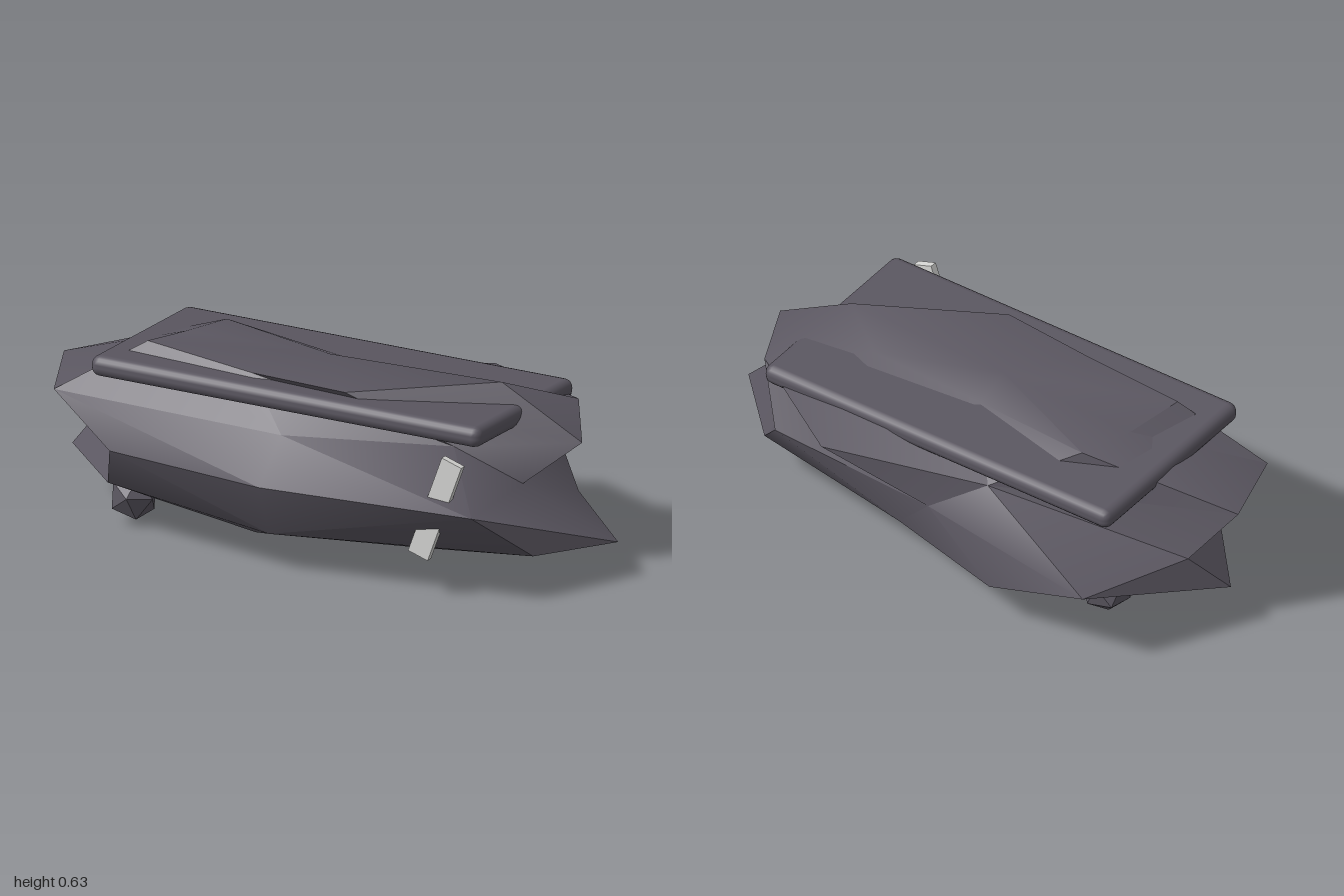
import * as THREE from 'three';
import { toCreasedNormals } from 'three/addons/utils/BufferGeometryUtils.js';
import { RoundedBoxGeometry } from 'three/addons/geometries/RoundedBoxGeometry.js';

// Closed skin over rings of eight points, capped by a point at the top and bottom.
// Panels listed in flipped as 'ring,column' are split along their other diagonal.
function ringSkin(top, rings, bottom, flipped) {
  const n = rings[0].length;
  const points = [];
  for (let j = 0; j < n; j++) {
    const k = (j + 1) % n;
    points.push(...top, ...rings[0][k], ...rings[0][j]);
    for (let i = 0; i < rings.length - 1; i++) {
      const [a, b, c, d] = [rings[i][k], rings[i + 1][k], rings[i + 1][j], rings[i][j]];
      const corners = flipped.includes(`${i},${j}`) ? [a, b, d, b, c, d] : [a, b, c, a, c, d];
      points.push(...corners.flat());
    }
    const last = rings[rings.length - 1];
    points.push(...bottom, ...last[j], ...last[k]);
  }
  const geometry = new THREE.BufferGeometry();
  geometry.setAttribute('position', new THREE.Float32BufferAttribute(points, 3));
  geometry.computeVertexNormals();
  return toCreasedNormals(geometry, 0.6);
}

export function createModel() {
  const model = new THREE.Group();
  const stone = new THREE.MeshStandardMaterial({ color: 0x5a5660 });
  stone.name = 'slateGrey';
  const pale = new THREE.MeshStandardMaterial({ color: 0xd6d6d4 });
  pale.name = 'paleGrey';

  const add = (name, geometry, material, x = 0, y = 0, z = 0) => {
    const mesh = new THREE.Mesh(geometry, material);
    mesh.name = name;
    mesh.position.set(x, y, z);
    model.add(mesh);
    return mesh;
  };

  // Rough body; each ring starts at +x and turns towards +z
  const crown = [[0.58, 0.605, 0], [0.15, 0.59, 0.28], [-0.2, 0.597, 0.25], [-0.6, 0.633, 0.2],
    [-0.56, 0.612, 0], [-0.5, 0.608, -0.18], [-0.04, 0.562, -0.12], [0.4, 0.555, -0.11]];
  const shoulder = [[0.87, 0.44, 0], [0.5, 0.43, 0.19], [-0.04, 0.44, 0.36], [-0.89, 0.455, 0.3],
    [-1, 0.48, 0], [-0.23, 0.44, -0.33], [0.3, 0.47, -0.525], [0.72, 0.485, -0.28]];
  const waist = [[0.71, 0.31, 0.11], [0.72, 0.31, 0.51], [-0.04, 0.31, 0.525], [-0.64, 0.31, 0.4],
    [-0.88, 0.31, -0.11], [-0.74, 0.31, -0.49], [-0.04, 0.31, -0.4], [0.6, 0.31, -0.38]];
  const belly = [[1, 0.12, 0], [0.85, 0.145, 0.32], [-0.04, 0.13, 0.45], [-0.7, 0.16, 0.29],
    [-0.97, 0.17, 0], [-0.34, 0.16, -0.465], [0.1, 0.165, -0.37], [0.72, 0.17, -0.28]];
  const keel = [[0.35, 0.08, 0], [0.38, 0.08, 0.23], [-0.2, 0.043, 0.22], [-0.35, 0.08, 0.16],
    [-0.5, 0.13, 0], [-0.52, 0.12, -0.26], [-0.04, 0.1, -0.25], [0.25, 0.09, -0.2]];
  const body = ringSkin([-0.04, 0.61, 0], [crown, shoulder, waist, belly, keel], [-0.04, 0, 0], ['1,5', '2,1']);
  add('rockBody', body, stone);

  // Tilted slab lying across the top
  const slab = add('topSlab', new RoundedBoxGeometry(1.41, 0.07, 0.71, 2, 0.03), stone, -0.035, 0.53, -0.005);
  slab.rotation.set(-0.05, 0, -0.033);

  // Pale strip standing through the front edge
  const strip = add('paleStrip', new THREE.BoxGeometry(0.075, 0.355, 0.025), pale, 0.564, 0.306, 0.45);
  strip.rotation.z = -0.35;

  // Small stones under one end
  for (const [x, z, turn] of [[-0.655, 0.19, 0.3], [-0.59, -0.165, 1.1]]) {
    const foot = add('footStone', new THREE.IcosahedronGeometry(0.084, 0), stone, x, 0.093, z);
    foot.rotation.set(0.4, turn, 0.2);
  }
  return model;
}
